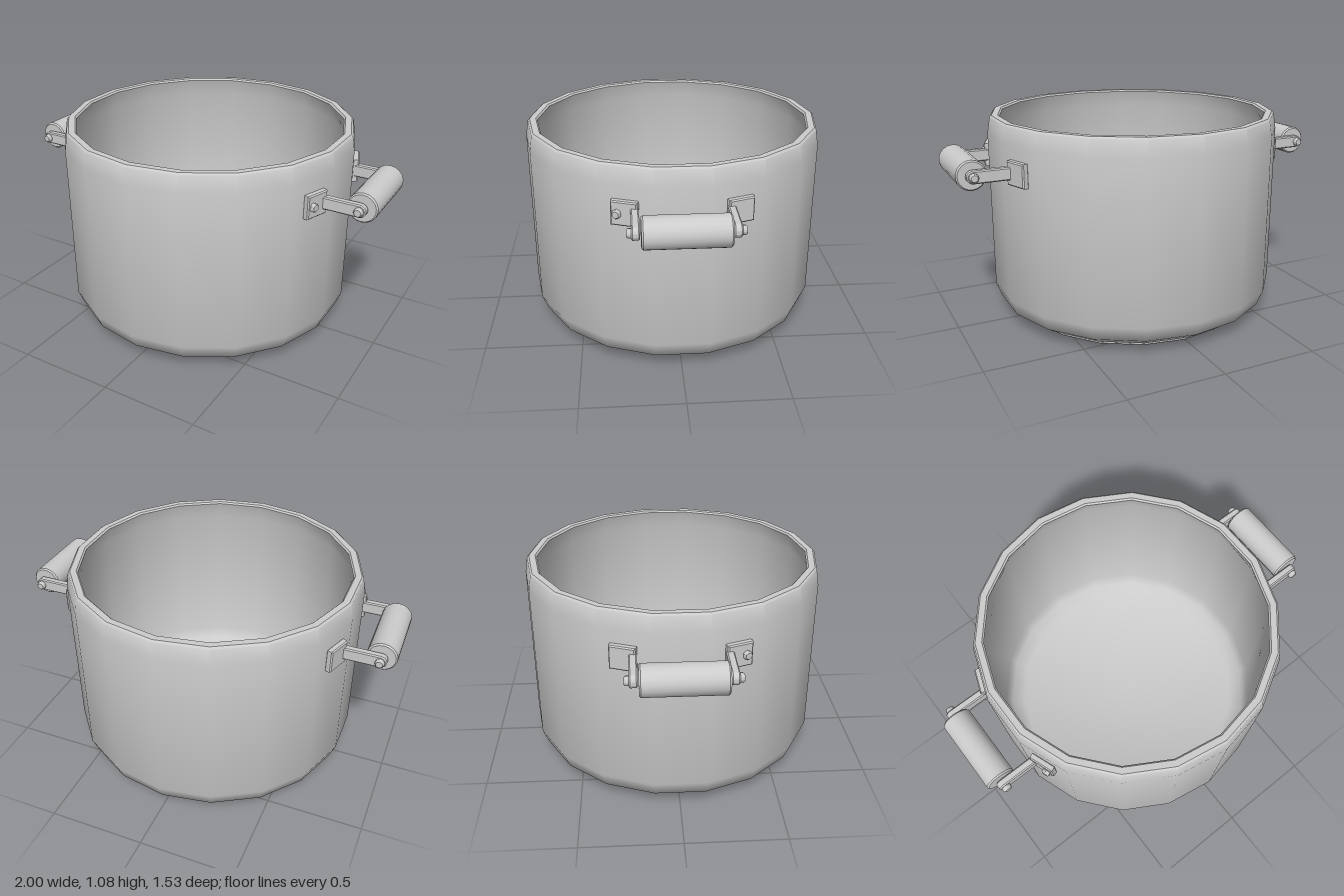
import * as THREE from 'three';
import { toCreasedNormals } from 'three/addons/utils/BufferGeometryUtils.js';

const grey = new THREE.MeshStandardMaterial({ color: 0xcccccc });

function mesh(name, geometry, crease = 0.7) {
  const m = new THREE.Mesh(toCreasedNormals(geometry, crease), grey);
  m.name = name;
  return m;
}

function lathe(points, sides) {
  return new THREE.LatheGeometry(points.map(([r, y]) => new THREE.Vector2(r, y)), sides);
}

// Short bolt head with a bevelled top, rising along +y
function bolt(name, r, h, sides) {
  return mesh(name, lathe([[0, 0], [r, 0], [r, h * 0.65], [r * 0.75, h], [0, h]], sides), 0.9);
}

// Extruded outline with a small bevel, centred on z = 0
function slab(shape, thickness, bevel) {
  const g = new THREE.ExtrudeGeometry(shape, {
    depth: thickness - 2 * bevel, bevelEnabled: true, bevelThickness: bevel,
    bevelSize: bevel, bevelOffset: -bevel, bevelSegments: 1, curveSegments: 8,
  });
  return g.translate(0, 0, bevel - thickness / 2);
}

function createHandle(boltSide) {
  const handle = new THREE.Group();
  const y = 0.856, gripX = 0.925;

  // Round grip lying along z
  const grip = mesh('grip', lathe([[0, -0.195], [0.068, -0.195], [0.075, -0.187],
    [0.075, 0.187], [0.068, 0.195], [0, 0.195]], 18));
  grip.rotation.x = Math.PI / 2;
  grip.position.set(gripX, y, 0);
  handle.add(grip);

  // Arm outline: straight bar with a rounded outer end
  const armShape = new THREE.Shape();
  armShape.moveTo(0.715, -0.032);
  armShape.lineTo(gripX, -0.032);
  armShape.absarc(gripX, 0, 0.032, -Math.PI / 2, Math.PI / 2, false);
  armShape.lineTo(0.715, 0.032);
  armShape.closePath();

  // Mounting plate outline
  const plateShape = new THREE.Shape();
  plateShape.moveTo(-0.064, -0.06);
  plateShape.lineTo(0.064, -0.06);
  plateShape.lineTo(0.064, 0.06);
  plateShape.lineTo(-0.064, 0.06);
  plateShape.closePath();

  for (const s of [1, -1]) {
    const arm = mesh('handleArm', slab(armShape, 0.038, 0.006));
    arm.position.set(0, y, s * 0.218);
    handle.add(arm);

    const pin = bolt('gripBolt', 0.023, 0.022, 8);
    pin.rotation.x = s * Math.PI / 2;
    pin.position.set(gripX, y, s * 0.236);
    handle.add(pin);

    // Plate lies flat on the pot facet 20 degrees round from the handle axis
    const mount = new THREE.Group();
    mount.name = 'handleMount';
    mount.rotation.y = Math.PI / 2 - s * Math.PI / 9;
    mount.position.set(0.722, y, s * 0.262);
    mount.add(mesh('mountPlate', slab(plateShape, 0.034, 0.006)));
    if (s === boltSide) {
      const rivet = bolt('plateBolt', 0.023, 0.02, 6);
      rivet.rotation.x = Math.PI / 2;
      rivet.position.set(-s * 0.032, 0, 0.016);
      mount.add(rivet);
    }
    handle.add(mount);
  }
  return handle;
}

export function createModel() {
  const model = new THREE.Group();
  model.name = 'cookingPot';

  // Hollow eighteen-sided body: base disc, outer wall, rim, inner wall, floor
  model.add(mesh('potBody', lathe([
    [0, 0], [0.626, 0], [0.631, 0.005], [0.631, 0.02], [0.65, 0.022],
    [0.735, 0.077], [0.766, 0.155], [0.766, 0.985], [0.752, 1.066], [0.742, 1.075],
    [0.71, 1.075], [0.702, 1.066], [0.73, 0.975], [0.73, 0.165], [0.702, 0.1],
    [0.635, 0.055], [0, 0.055],
  ], 18)));

  // One handle on each side, plate bolts on the front plates only
  for (const side of [1, -1]) {
    const handle = createHandle(side);
    handle.name = side > 0 ? 'leftHandle' : 'rightHandle';
    handle.rotation.y = side > 0 ? 0 : Math.PI;
    model.add(handle);
  }
  return model;
}
